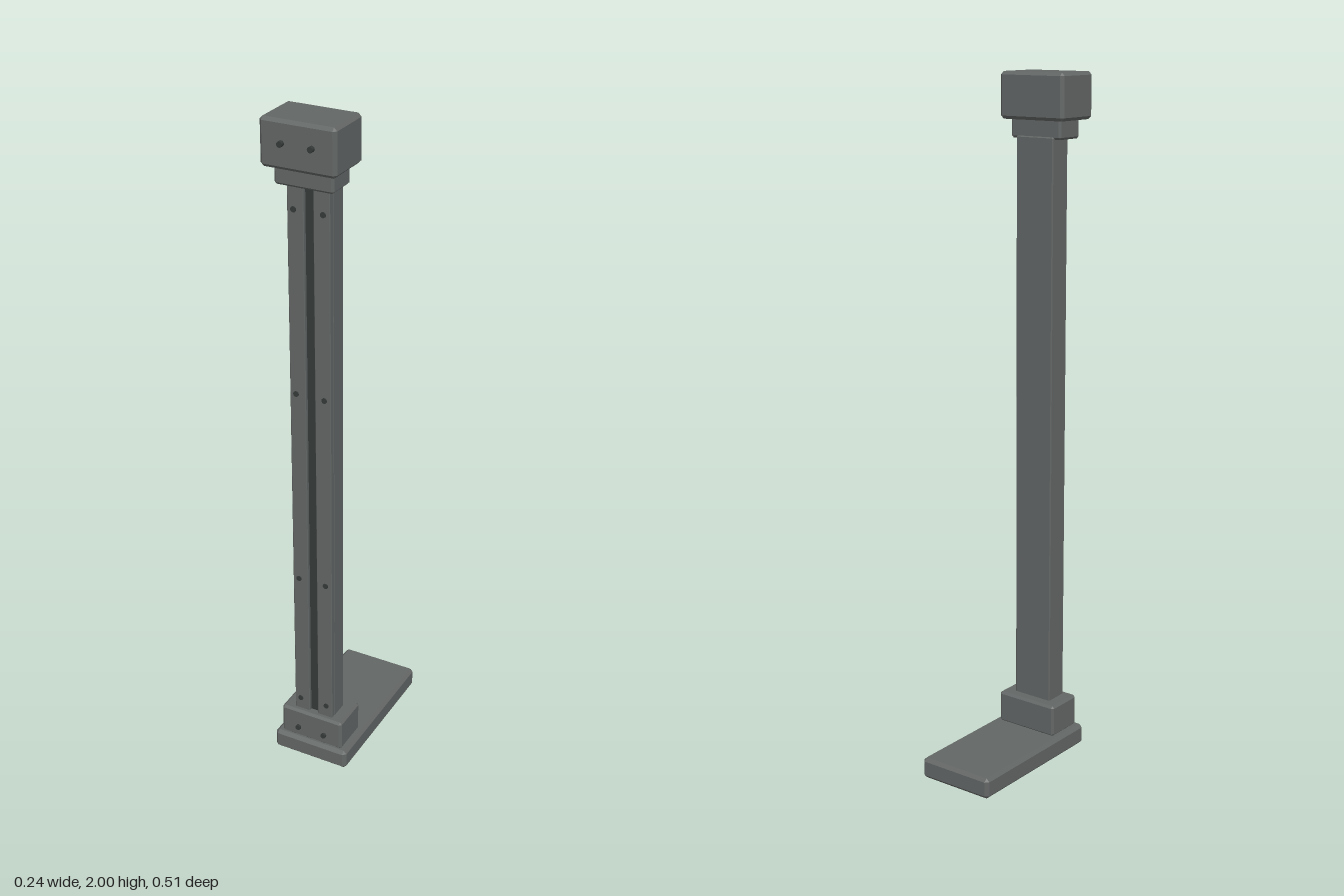
import * as THREE from 'three';
import { ConvexGeometry } from 'three/addons/geometries/ConvexGeometry.js';

// Box with one flat chamfer of width b along every edge, given by its limits
function chamferBox([x0, x1], [y0, y1], [z0, z1], b) {
  const c = [(x0 + x1) / 2, (y0 + y1) / 2, (z0 + z1) / 2];
  const h = [(x1 - x0) / 2, (y1 - y0) / 2, (z1 - z0) / 2];
  const points = [];
  for (const sx of [-1, 1]) for (const sy of [-1, 1]) for (const sz of [-1, 1]) {
    for (let axis = 0; axis < 3; axis++) {
      const p = [sx, sy, sz].map((s, i) => c[i] + s * (h[i] - (i === axis ? 0 : b)));
      points.push(new THREE.Vector3(...p));
    }
  }
  return new ConvexGeometry(points);
}

export function createModel() {
  const group = new THREE.Group();
  const grey = new THREE.MeshStandardMaterial({ color: 0x626665 });
  grey.name = 'steelGrey';
  const dark = new THREE.MeshStandardMaterial({ color: 0x353a39 });
  dark.name = 'darkSteel';

  const add = (name, geometry, material = grey) => {
    const mesh = new THREE.Mesh(geometry, material);
    mesh.name = name;
    group.add(mesh);
    return mesh;
  };

  // Foot plate and the socket block on it
  add('basePlate', chamferBox([-0.12, 0.12], [0, 0.063], [-0.257, 0.218], 0.01));
  add('footBlock', chamferBox([-0.1, 0.1], [0.06, 0.157], [0.086, 0.206], 0.007));

  // Post: back body with two front rails leaving a central slot
  add('postBody', chamferBox([-0.063, 0.063], [0.15, 1.825], [0.118, 0.176], 0.003));
  for (const s of [-1, 1]) {
    const xs = [s * 0.014, s * 0.062].sort((a, b) => a - b);
    add(s > 0 ? 'leftRail' : 'rightRail', chamferBox(xs, [0.15, 1.825], [0.17, 0.19], 0.002));
  }

  // Dark lining at the bottom of the slot
  const lining = new THREE.BoxGeometry(0.028, 1.67, 0.004);
  lining.translate(0, 0.988, 0.177);
  add('slotLining', lining, dark);

  // Collar and head block
  add('collar', chamferBox([-0.085, 0.085], [1.818, 1.875], [0.122, 0.215], 0.006));
  add('headBlock', chamferBox([-0.108, 0.108], [1.87, 2], [0.099, 0.245], 0.009));

  // Bolts in pairs: [name, height, front z, radius]
  const bolts = [
    ['headBolt', 1.94, 0.257, 0.008],
    ['railBolt', 1.75, 0.193, 0.008],
    ['railBolt', 1.222, 0.193, 0.008],
    ['railBolt', 0.625, 0.193, 0.008],
    ['railBolt', 0.195, 0.193, 0.008],
    ['footBolt', 0.096, 0.214, 0.008],
  ];
  for (const [name, y, front, r] of bolts) {
    for (const x of [-0.043, 0.043]) {
      const bolt = new THREE.CylinderGeometry(r, r, 0.02, 12);
      bolt.rotateX(Math.PI / 2);
      bolt.translate(x, y, front - 0.01);
      add(name, bolt, dark);
    }
  }
  return group;
}
